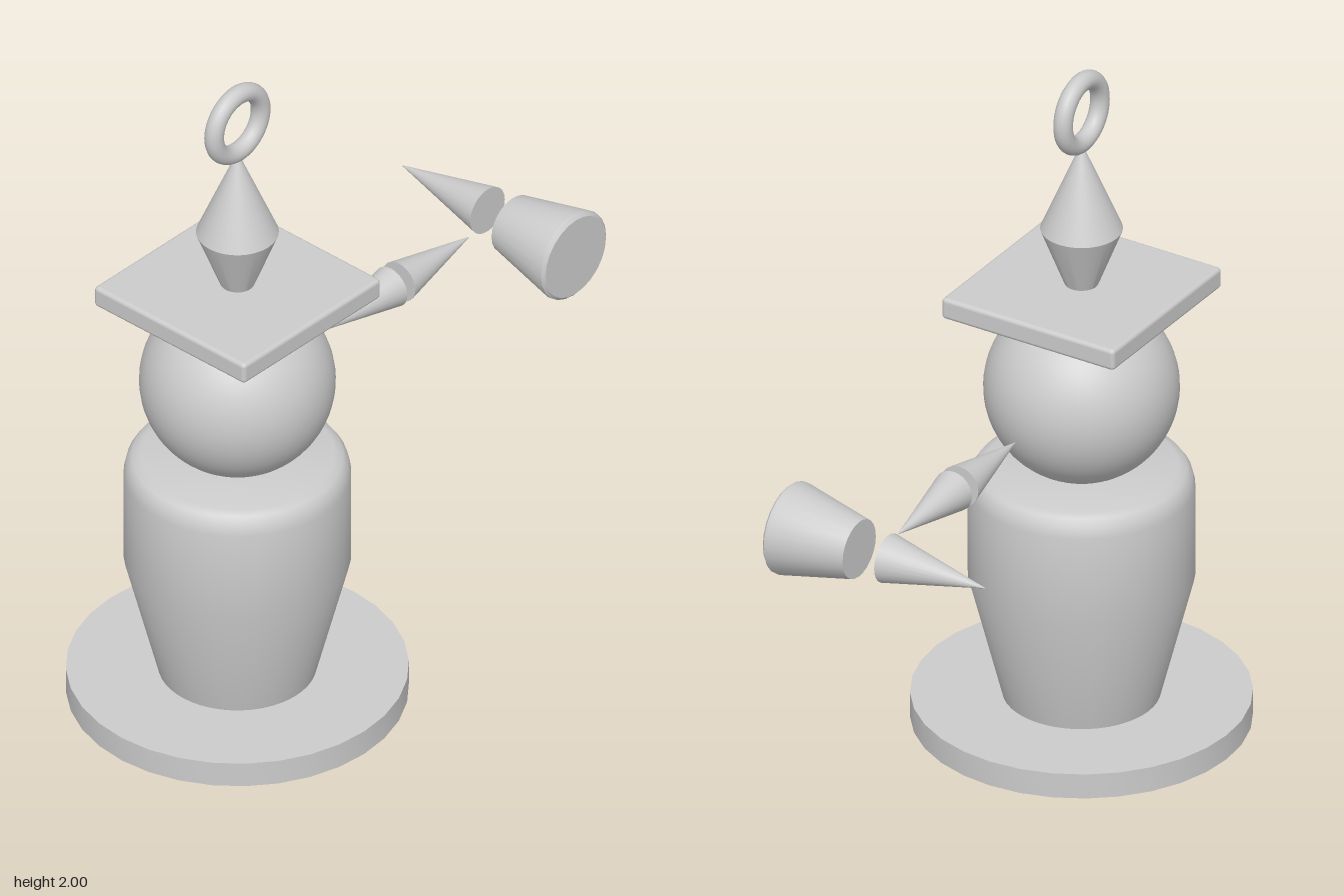
import * as THREE from 'three';
import { toCreasedNormals } from 'three/addons/utils/BufferGeometryUtils.js';
import { RoundedBoxGeometry } from 'three/addons/geometries/RoundedBoxGeometry.js';

const AXIS_X = -0.365; // centre line of the figure
const ARM_Y = 1.01;    // height of the arm and the held pieces
const HAND_X = 0.697;

export function createModel() {
  const group = new THREE.Group();
  const material = new THREE.MeshStandardMaterial({ color: 0xcccccc });

  function add(name, geometry, x, y, z = 0) {
    const mesh = new THREE.Mesh(geometry, material);
    mesh.name = name;
    mesh.position.set(x, y, z);
    group.add(mesh);
    return mesh;
  }

  // Closed turned solid; profile is [radius, height] from bottom to top
  function turned(profile, segments = 32) {
    const points = [[0, profile[0][1]], ...profile, [0, profile[profile.length - 1][1]]];
    const lathe = new THREE.LatheGeometry(points.map(([r, h]) => new THREE.Vector2(r, h)), segments);
    return toCreasedNormals(lathe, 0.7);
  }

  // Standing figure
  add('base', turned([[0.467, 0], [0.467, 0.075]]), AXIS_X, 0);
  add('body', turned([
    [0.215, 0.07], [0.31, 0.445], [0.31, 0.72], [0.303, 0.75], [0.288, 0.772], [0.265, 0.78],
  ], 48), AXIS_X, 0);
  add('head', new THREE.SphereGeometry(0.268, 48, 32), AXIS_X, 1.027);

  // Square hat with finial and hanging ring
  add('hatPlate', new RoundedBoxGeometry(0.555, 0.064, 0.555, 3, 0.012), AXIS_X, 1.317);
  add('finial', turned([[0.045, 1.345], [0.113, 1.52], [0.005, 1.775]]), AXIS_X, 0);
  add('ring', new THREE.TorusGeometry(0.094, 0.027, 16, 48), AXIS_X, 1.88);

  // Arm: two cones set base to base with a gap between them
  const armCone = turned([[0.06, 0], [0.001, 0.282]], 24);
  add('upperArm', armCone, 0.256, ARM_Y).rotation.z = Math.PI / 2;
  add('forearm', armCone, 0.288, ARM_Y).rotation.z = -Math.PI / 2;

  // Held pieces: flared cup to the front, spike to the back
  const cup = turned([[0.085, 0.045], [0.132, 0.26], [0.131, 0.27], [0.122, 0.278]], 24);
  add('cup', cup, HAND_X, ARM_Y).rotation.x = Math.PI / 2;
  const spike = turned([[0.07, 0.047], [0.001, 0.36]], 24);
  add('spike', spike, HAND_X, ARM_Y).rotation.x = -Math.PI / 2;

  return group;
}
